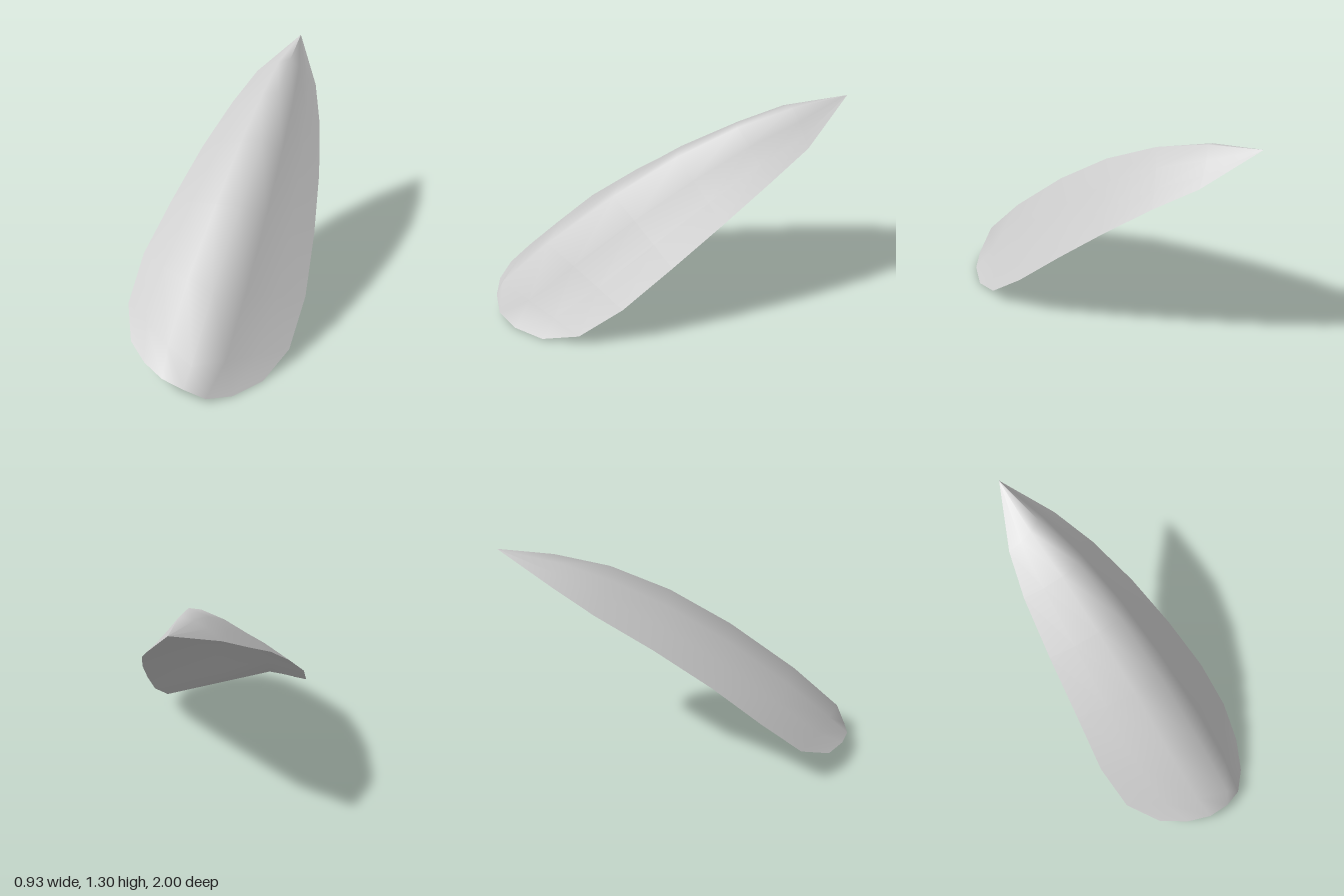
import * as THREE from 'three';

// Cross-sections from the rounded base to the tip: left edge, top ridge, right edge
const SECTIONS = [
  [[-0.37, 0.135, 0.80], [0.01, 0.07, 1.00], [0.36, 0.003, 0.74]],
  [[-0.465, 0.23, 0.61], [0.04, 0.19, 0.95], [0.445, 0.075, 0.53]],
  [[-0.46, 0.42, 0.38], [0.06, 0.46, 0.67], [0.465, 0.26, 0.28]],
  [[-0.39, 0.63, 0.11], [0.085, 0.77, 0.28], [0.435, 0.50, 0.00]],
  [[-0.31, 0.84, -0.20], [0.095, 1.00, -0.07], [0.385, 0.73, -0.28]],
  [[-0.22, 1.015, -0.50], [0.095, 1.16, -0.40], [0.315, 0.93, -0.54]],
  [[-0.13, 1.145, -0.71], [0.08, 1.25, -0.70], [0.23, 1.08, -0.76]],
  [[0.065, 1.30, -1.00], [0.065, 1.30, -1.00], [0.065, 1.30, -1.00]],
].map((section) => section.map((p) => new THREE.Vector3(...p)));

const HALF = 3; // strips on each side of the ridge or groove
const FLAT = new THREE.Vector3();
const BASE_LEFT = new THREE.Vector3(0, 0, 0.053);
const BASE_RIGHT = new THREE.Vector3(0, -0.025, 0.08);
const TOP_LEFT = new THREE.Vector3(0, 0.016, 0.022);
const TOP_RIGHT = new THREE.Vector3(0, -0.006, -0.008);

// Points from a to b, bowed by an offset in the middle
function bow(a, b, offset, from) {
  const points = [];
  for (let i = from; i <= HALF; i++) {
    const t = i / HALF;
    points.push(a.clone().lerp(b, t).addScaledVector(offset, 4 * t * (1 - t)));
  }
  return points;
}

function topRow([left, ridge, right], row) {
  const last = row === SECTIONS.length - 1;
  const l = row === 0 ? BASE_LEFT : last ? FLAT : TOP_LEFT;
  const r = row === 0 ? BASE_RIGHT : last ? FLAT : TOP_RIGHT;
  return [...bow(left, ridge, l, 0), ...bow(ridge, right, r, 1)];
}

// The underside shares the rim and has a shallow groove left of the ridge
function undersideRow(section, row) {
  if (row === 0) return topRow(section, row);
  const [left, ridge, right] = section;
  const groove = left.clone().lerp(ridge, 0.43).lerp(left.clone().lerp(right, 0.4), 0.18);
  return [...bow(left, groove, FLAT, 0), ...bow(groove, right, FLAT, 1)];
}

// Skin over the rows; the last row is a single point
function skin(makeRow, flip) {
  const rows = SECTIONS.map(makeRow);
  const cols = HALF * 2 + 1;
  const index = [];
  const face = (a, b, c) => (flip ? index.push(a, c, b) : index.push(a, b, c));
  for (let r = 0; r < rows.length - 1; r++) {
    for (let c = 0; c < cols - 1; c++) {
      const a = r * cols + c;
      face(a, a + 1, a + cols);
      if (r < rows.length - 2) face(a + 1, a + cols + 1, a + cols);
    }
  }
  const geometry = new THREE.BufferGeometry().setFromPoints(
    rows.flat().map((p) => p.setY(Math.max(0, p.y))),
  );
  geometry.setIndex(index);
  geometry.computeVertexNormals();
  return geometry;
}

export function createModel() {
  const model = new THREE.Group();
  model.name = 'leaf';
  const material = new THREE.MeshStandardMaterial({ color: 0xcccccc, side: THREE.DoubleSide });
  const add = (name, geometry) => {
    const mesh = new THREE.Mesh(geometry, material);
    mesh.name = name;
    model.add(mesh);
  };
  add('leafTop', skin(topRow, false));
  add('leafUnderside', skin(undersideRow, true));
  return model;
}
